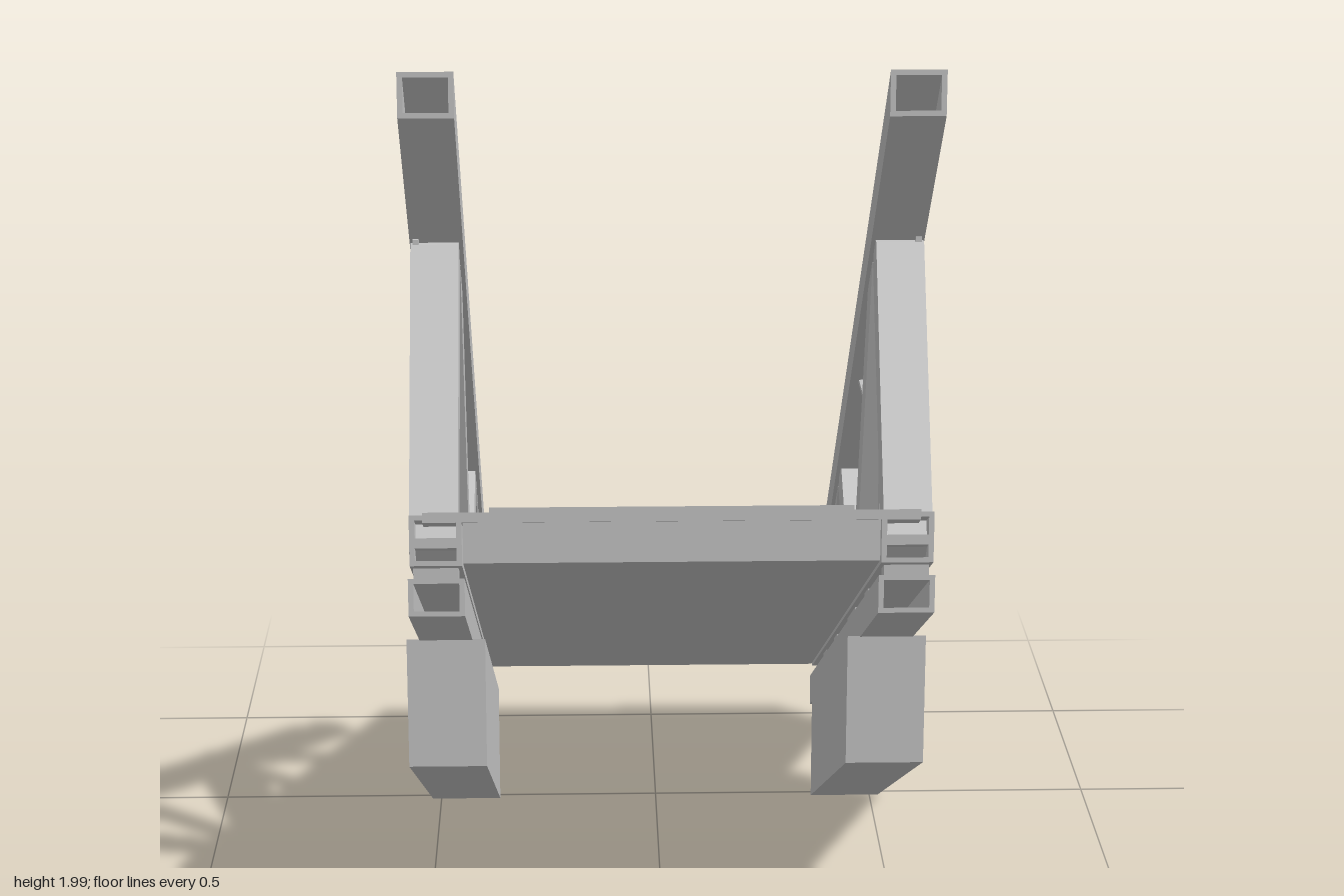
import * as THREE from 'three';

const SLOPE = 0.4945;      // pitch of the deck
const RAIL_SLOPE = 0.91;   // pitch of the top chord

export function createModel() {
  const group = new THREE.Group();
  const steel = new THREE.MeshStandardMaterial({ color: 0xc4c4c4 });
  steel.name = 'lightGreySteel';

  // Side outline in [z, y] points, extruded from x0 to x1
  function prism(name, points, x0, x1) {
    const shape = new THREE.Shape(points.map(([z, y]) => new THREE.Vector2(-z, y)));
    const geo = new THREE.ExtrudeGeometry(shape, { depth: Math.abs(x1 - x0), bevelEnabled: false });
    geo.rotateY(Math.PI / 2);
    geo.translate(Math.min(x0, x1), 0, 0);
    const mesh = new THREE.Mesh(geo, steel);
    mesh.name = name;
    group.add(mesh);
  }

  // Sloping beam with plumb-cut ends; lo and hi are its heights at z = 0
  function beam(name, z0, z1, lo, hi, x0, x1, s = SLOPE) {
    prism(name, [[z0, lo + s * z0], [z1, lo + s * z1], [z1, hi + s * z1], [z0, hi + s * z0]], x0, x1);
  }

  // Hollow beam made from four walls
  function tube(name, z0, z1, lo, hi, x0, x1, s = SLOPE, t = 0.01) {
    const d = Math.sign(x1 - x0) * t;
    beam(name + 'Bottom', z0, z1, lo, lo + t, x0, x1, s);
    beam(name + 'Top', z0, z1, hi - t, hi, x0, x1, s);
    beam(name + 'InnerWall', z0, z1, lo + t, hi - t, x0, x0 + d, s);
    beam(name + 'OuterWall', z0, z1, lo + t, hi - t, x1 - d, x1, s);
  }

  // Deck
  beam('deckCore', -0.908, 0.908, 0.62, 0.70, -0.39, 0.39);
  beam('deckPlate', -0.91, 0.91, 0.70, 0.72, -0.465, 0.465);
  beam('walkway', -0.91, 0.91, 0.72, 0.729, -0.34, 0.34);

  const diagonals = [
    [[0.885, 1.09], [0.58, 1.6], [0.54, 1.6], [0.52, 1.54], [0.815, 1.05], [0.85, 1.045]],
    [[0.505, 1.54], [0.435, 1.53], [0.155, 0.77], [0.14, 0.69], [0.19, 0.68], [0.225, 0.76]],
    [[0.085, 0.715], [-0.19, 0.9], [-0.25, 0.88], [-0.26, 0.83], [0, 0.66], [0.06, 0.63]],
    [[-0.28, 0.83], [-0.345, 0.82], [-0.59, 0.37], [-0.625, 0.3], [-0.57, 0.31], [-0.51, 0.4]],
  ];
  const posts = [[0.5, 0.54, 0.89, 1.54], [0.11, 0.15, 0.74, 1.2], [-0.28, -0.24, 0.55, 0.84]];
  const gussets = [[0.455, 0.58, 1.53, 1.61], [0.065, 0.2, 1.18, 1.255], [-0.325, -0.2, 0.82, 0.9]];
  const spacers = [[0.83, 0.88], [0.457, 0.537], [0.06, 0.24], [-0.325, -0.24], [-0.64, -0.55]];
  const rect = (z0, z1, y0, y1) => [[z0, y0], [z1, y0], [z1, y1], [z0, y1]];

  for (const s of [1, -1]) {
    // Pontoon under the side
    beam('pontoon', -0.48, 0.52, 0.243, 0.517, s * 0.363, s * 0.52);

    // Bottom chords and the spacers between them
    tube('lowerChord', -0.91, 0.91, 0.515, 0.59, s * 0.388, s * 0.494);
    tube('middleChord', -0.91, 0.91, 0.615, 0.66, s * 0.392, s * 0.49);
    tube('deckChord', -0.91, 0.91, 0.66, 0.715, s * 0.392, s * 0.49);
    for (const [a, b] of spacers) beam('spacer', a, b, 0.588, 0.617, s * 0.4, s * 0.485);

    // Truss members
    for (const d of diagonals) prism('diagonal', d, s * 0.4, s * 0.492);
    for (const p of posts) prism('post', rect(...p), s * 0.42, s * 0.47);

    // Sloping top chord and its end cap
    tube('topChord', -0.648, 0.91, 1.087, 1.172, s * 0.392, s * 0.494, RAIL_SLOPE);
    prism('endCap', rect(-0.685, -0.64, 0.49, 0.565), s * 0.425, s * 0.47);

    // Joint plates where posts meet the top chord
    gussets.forEach(([z0, z1, y0, y1], i) => {
      prism('gussetWeb', rect(z0, z1, y0, y1), s * 0.476, s * 0.488);
      if (i !== 1) prism('gussetEnd', rect(z0, z0 + 0.008, y0, y1 - 0.005), s * 0.405, s * 0.48);
      else prism('gussetFoot', rect(z0, z1, y0, y0 + 0.01), s * 0.41, s * 0.48);
    });
  }
  return group;
}
